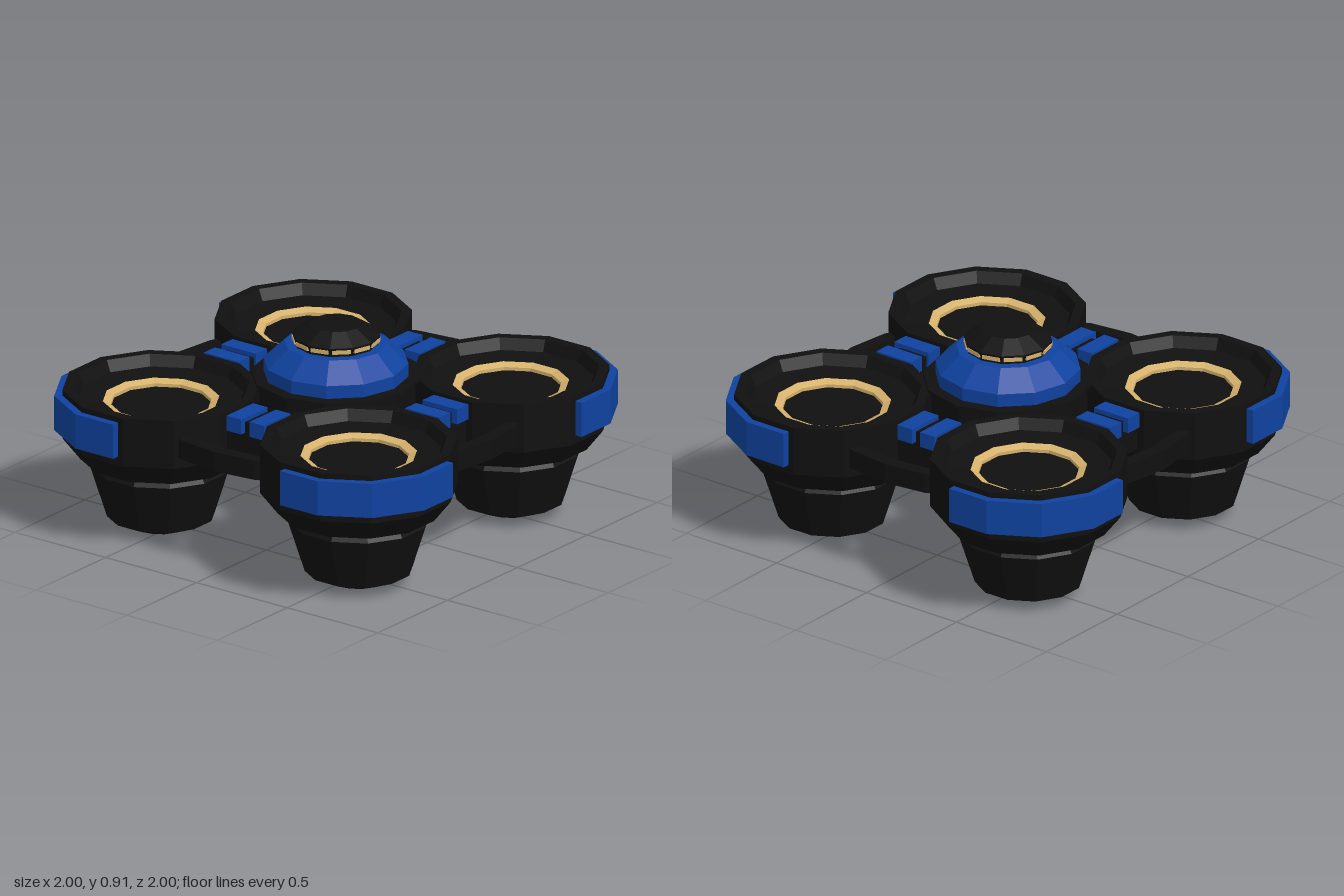
import * as THREE from 'three';

const material = (color) => new THREE.MeshStandardMaterial({ color, flatShading: true });
const DARK = material(0x101010);
const BLUE = material(0x0f429f);
const GOLD = material(0xd6b26c);
const FLAT = Math.PI / 12; // turns a twelve-sided part so flats face the axes

function add(parent, name, geometry, mat, x = 0, y = 0, z = 0) {
  const mesh = new THREE.Mesh(geometry, mat);
  mesh.name = name;
  mesh.position.set(x, y, z);
  parent.add(mesh);
  return mesh;
}

// Twelve-sided turned part; profile runs from the bottom up and over the outside
const lathe = (profile) =>
  new THREE.LatheGeometry(profile.map(([r, y]) => new THREE.Vector2(r, y)), 12);

// Plan outline (x, z) extruded downwards from y = 0
const slab = (outline, depth) =>
  new THREE.ExtrudeGeometry(
    new THREE.Shape(outline.map(([x, z]) => new THREE.Vector2(x, z))),
    { depth, bevelEnabled: false }
  ).rotateX(Math.PI / 2);

// Corner points of a bumper edge wrapping the outer quarter of a pod
function bumperEdge(apothem) {
  const r = apothem / Math.cos(FLAT);
  const corners = [15, 45, 75].map((d) => {
    const a = THREE.MathUtils.degToRad(d);
    return [r * Math.cos(a), r * Math.sin(a)];
  });
  return [[apothem, -0.085], ...corners, [-0.085, apothem]];
}

function createPod() {
  const pod = new THREE.Group();
  pod.name = 'rotorPod';

  // Nozzle, flange and recessed bowl in one turned body
  add(pod, 'podBody', lathe([
    [0, 0], [0.11, 0], [0.238, 0.055], [0.312, 0.29], [0.29, 0.325],
    [0.357, 0.33], [0.435, 0.43], [0.435, 0.655], [0.39, 0.655],
    [0.365, 0.605], [0.257, 0.59], [0.222, 0.565], [0, 0.56],
  ]), DARK).rotation.y = FLAT;

  add(pod, 'glowRing', lathe([[0.257, 0.594], [0.222, 0.58], [0.222, 0.562]]), GOLD)
    .rotation.y = FLAT;

  add(pod, 'nozzleLight', new THREE.CylinderGeometry(0.048, 0.048, 0.008, 12), GOLD, 0, 0.003, 0);

  add(pod, 'cornerBumper',
    slab([...bumperEdge(0.455), ...bumperEdge(0.41).reverse()], 0.16), BLUE, 0, 0.63, 0);
  return pod;
}

function createBridge() {
  const bridge = new THREE.Group();
  bridge.name = 'bridge';
  add(bridge, 'bridgeBeam', new THREE.BoxGeometry(0.3, 0.17, 0.15), DARK, 0, 0.545, 0.545);
  for (const side of [-1, 1]) {
    add(bridge, 'bridgeClamp', new THREE.BoxGeometry(0.08, 0.07, 0.19), BLUE, side * 0.063, 0.615, 0.555);
  }
  // Bent outer guard bar joining neighbouring pods
  add(bridge, 'guardBar', slab([
    [-0.3, 0.77], [-0.2, 0.785], [0, 0.805], [0.2, 0.785], [0.3, 0.77],
    [0.3, 0.8], [0.2, 0.845], [0, 0.87], [-0.2, 0.845], [-0.3, 0.8],
  ], 0.09), DARK, 0, 0.57, 0);
  return bridge;
}

function createCore() {
  const core = new THREE.Group();
  core.name = 'core';

  add(core, 'coreBody', lathe([
    [0, 0.175], [0.172, 0.175], [0.255, 0.315], [0.27, 0.34], [0.35, 0.43],
    [0.35, 0.655], [0.375, 0.66], [0.375, 0.675], [0, 0.68],
  ]), DARK);
  add(core, 'coreCollar', lathe([
    [0.32, 0.67], [0.32, 0.735], [0.228, 0.82], [0, 0.82],
  ]), BLUE);
  add(core, 'coreCap', lathe([
    [0.185, 0.815], [0.185, 0.832], [0.195, 0.855], [0.195, 0.862], [0.115, 0.91], [0, 0.91],
  ]), DARK);

  // Dashed light band, one lamp on each facet
  for (let i = 0; i < 12; i++) {
    const a = FLAT + (i * Math.PI) / 6;
    const r = 0.182;
    add(core, 'capLamp', new THREE.BoxGeometry(0.082, 0.018, 0.016), GOLD,
      r * Math.sin(a), 0.843, r * Math.cos(a)).rotation.y = a;
  }
  return core;
}

export function createModel() {
  const model = new THREE.Group();
  model.name = 'quadRotorDrone';
  model.add(createCore());

  // The same quarter repeats four times around the core
  for (let i = 0; i < 4; i++) {
    const quarter = new THREE.Group();
    quarter.name = 'quarter';
    quarter.rotation.y = (i * Math.PI) / 2;
    const pod = createPod();
    pod.position.set(0.545, 0, 0.545);
    quarter.add(pod, createBridge());
    model.add(quarter);
  }
  return model;
}
